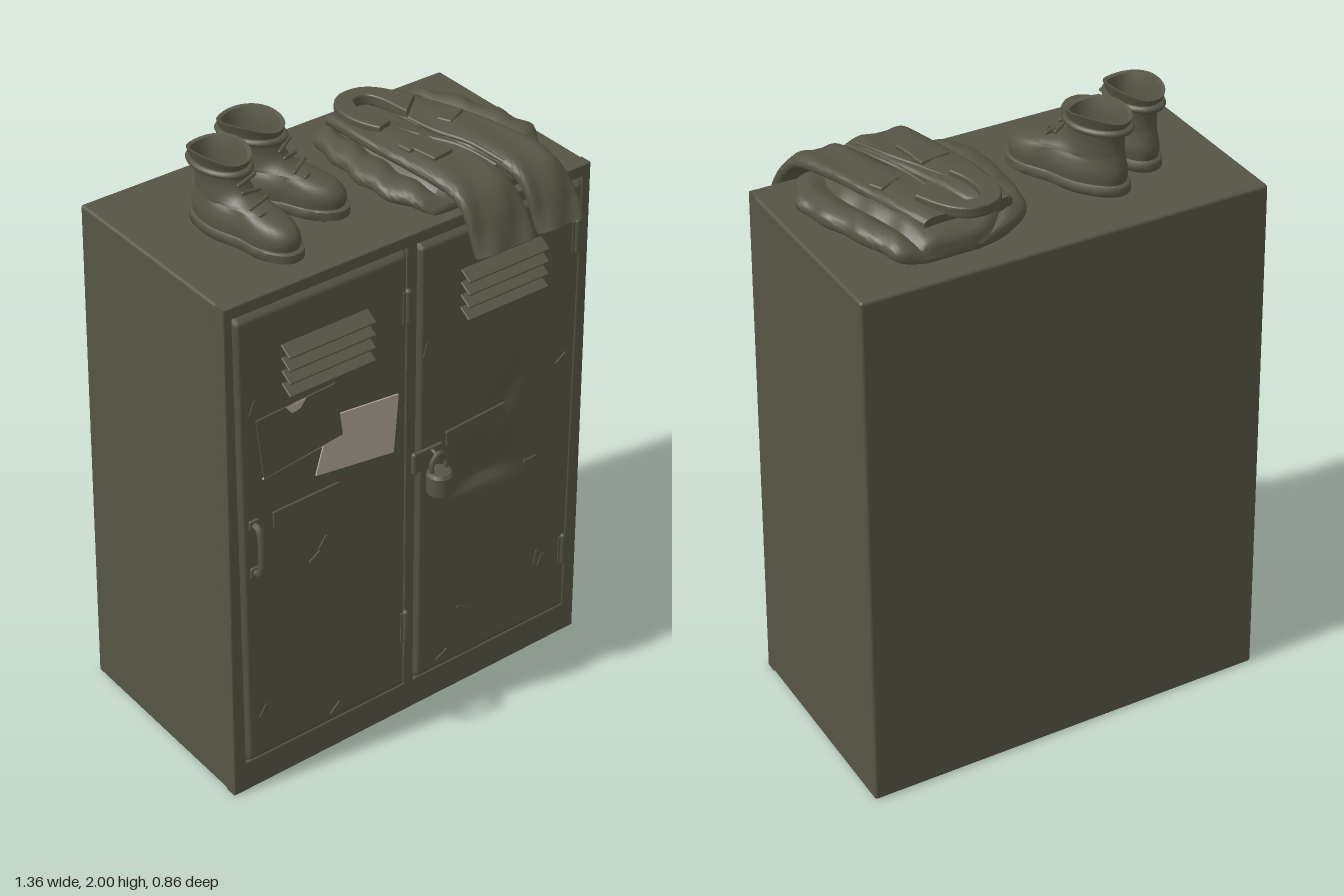
import * as THREE from 'three';
import { RoundedBoxGeometry } from 'three/addons/geometries/RoundedBoxGeometry.js';
import { toCreasedNormals } from 'three/addons/utils/BufferGeometryUtils.js';

const olive = new THREE.MeshStandardMaterial({ color: 0x555445 });
olive.name = 'worn olive';
const paper = new THREE.MeshStandardMaterial({ color: 0xb0a698 });
paper.name = 'old paper';

function add(parent, name, geo, x = 0, y = 0, z = 0, mat = olive) {
  const m = new THREE.Mesh(geo, mat);
  m.name = name;
  m.position.set(x, y, z);
  parent.add(m);
  return m;
}

function group(parent, name) {
  const g = new THREE.Group();
  g.name = name;
  parent.add(g);
  return g;
}

// Skin over closed rings (counter-clockwise seen from the end), with both ends capped
function loft(rings) {
  const n = rings[0].length, pos = [], idx = [];
  rings.forEach(r => r.forEach(p => pos.push(...p)));
  for (let i = 0; i < rings.length - 1; i++) for (let j = 0; j < n; j++) {
    const a = i * n + j, b = i * n + (j + 1) % n;
    idx.push(a, b, b + n, a, b + n, a + n);
  }
  [0, rings.length - 1].forEach(i => {
    const c = pos.length / 3, mid = [0, 1, 2].map(k => rings[i].reduce((s, p) => s + p[k], 0) / n);
    pos.push(...mid);
    for (let j = 0; j < n; j++) {
      const a = i * n + j, b = i * n + (j + 1) % n;
      idx.push(...(i ? [a, b, c] : [b, a, c]));
    }
  });
  const g = new THREE.BufferGeometry();
  g.setAttribute('position', new THREE.Float32BufferAttribute(pos, 3));
  g.setIndex(idx);
  g.computeVertexNormals();
  return toCreasedNormals(g, 0.9);
}

// Smoothly resample rows of four numbers
function resample(rows, n) {
  const curves = [0, 2].map(k => new THREE.CatmullRomCurve3(
    rows.map(r => new THREE.Vector3(r[k], r[k + 1], 0)), false, 'catmullrom', 0.5));
  return Array.from({ length: n + 1 }, (_, i) => curves.flatMap(c => {
    const v = c.getPoint(i / n);
    return [v.x, v.y];
  }));
}

const ring = (n, f) => Array.from({ length: n }, (_, i) => f(i / n * Math.PI * 2));
const pow = (v, e) => Math.sign(v) * Math.abs(v) ** e;
const bump = (d, w) => Math.exp(-d * d / (w * w));

// Sheet-metal door with rolled edges; the dented one is pushed in with a sharp lower crease
function doorGeometry(w, h, dented) {
  const g = new THREE.PlaneGeometry(w, h, 60, 110), p = g.attributes.position;
  for (let i = 0; i < p.count; i++) {
    const x = p.getX(i), y = p.getY(i);
    const e = THREE.MathUtils.clamp(Math.min(w / 2 - Math.abs(x), h / 2 - Math.abs(y)) / 0.016, 0, 1);
    let z = -0.02 + 0.028 * Math.sqrt(e * (2 - e));
    if (dented) {
      const dx = x + 0.04, dy = y + 0.13 + 0.25 * dx * dx;
      z -= 0.026 * bump(dx, 0.12) * (dy > 0 ? bump(dy, 0.15) : bump(dy, 0.035));
      z += 0.012 * bump(dx + 0.03, 0.1) * bump(dy + 0.02, 0.018);
      z -= 0.012 * bump(x - y * 0.5 + 0.04, 0.05) * bump(y - 0.12, 0.12);
    }
    p.setZ(i, z);
  }
  g.computeVertexNormals();
  return g;
}

// Laced ankle boot: rings of [height, heel z, toe z, half width]
function boot(parent, name, x, z, turn) {
  const g = group(parent, name);
  g.position.set(x, 1.75, z);
  g.rotation.y = turn;
  const section = ([y, zb, zf, w], dip = 0) => ring(36, t => {
    const s = Math.sin(t), u = (1 + s) / 2;
    const waist = zf > 0.1 ? 1 - 0.2 * bump(u - 0.42, 0.16) : 1;
    return [w * waist * pow(Math.cos(t), 0.85), y - dip * s * s, zb + (zf - zb) * (1 - u)];
  });
  const sole = [[0, -.2, .2, .08], [.004, -.205, .21, .084], [.03, -.205, .21, .084], [.034, -.2, .2, .08]];
  add(g, 'sole', loft(sole.map(r => section(r))));
  const upper = resample([[.03, -.19, .195, .077], [.065, -.195, .198, .078], [.095, -.19, .17, .07],
    [.115, -.186, .1, .061], [.135, -.182, .03, .057], [.17, -.182, 0, .056], [.21, -.192, -.005, .062]], 24);
  const mouth = [[.24, -.198, 0, .072], [.252, -.2, .002, .076], [.25, -.188, -.012, .066], [.2, -.178, -.02, .05], [.1, -.17, -.03, .045]];
  add(g, 'upper', loft([...upper.map(r => section(r)), ...mouth.map((r, i) => section(r, i < 3 ? 0.018 : 0))]));
  // Padded cuff and laces
  const cuff = new THREE.TorusGeometry(0.072, 0.011, 8, 36).rotateX(Math.PI / 2).scale(0.93, 1, 1.36);
  add(g, 'cuff', cuff, 0, 0.205, -0.098);
  [[.105, .09], [.125, .055], [.15, .025], [.18, .008]].forEach(([y, lz], i) => {
    const lace = add(g, 'lace', new THREE.CapsuleGeometry(0.006, 0.065, 4, 8).rotateZ(Math.PI / 2), 0, y + .006, lz);
    lace.rotation.z = i % 2 ? 0.2 : -0.2;
  });
}

function jacket(root) {
  const g = group(root, 'foldedJacket');
  // Folded body with sleeves tucked at the sides: [z, left x, right x, height]
  const rows = [[-.3, .22, .42, .02], [-.285, .13, .48, .06], [-.22, .045, .515, .085], [-.12, .025, .55, .092],
    [0, .015, .59, .09], [.1, .015, .605, .085], [.18, .035, .575, .078], [.24, .065, .535, .06], [.275, .1, .5, .03]];
  add(g, 'jacketBody', loft(resample(rows, 48).map(([z, l, r, h]) => ring(64, t => {
    const u = pow(Math.cos(t), 0.75), v = (1 + pow(Math.sin(t), 0.65)) / 2;
    const valley = 1 - 0.28 * bump(Math.abs(u) - 0.66, 0.07);
    const fold = 0.005 * Math.sin(z * 48 + u * 9) * Math.abs(u);
    return [(l + r) / 2 + (r - l) / 2 * u + fold, 1.748 + Math.max(0, v * (h * valley + fold)), z];
  }))));
  // Front panels hanging over the edge: path of [z, y] with [left x, right x] per side
  const path = [[-.24, 1.832], [-.05, 1.84], [.1, 1.837], [.24, 1.825], [.31, 1.805], [.355, 1.76], [.385, 1.705], [.41, 1.655]];
  const sides = {
    right: [[.1, .2], [.1, .26], [.12, .31], [.14, .335], [.145, .345], [.148, .352], [.15, .355], [.153, .357]],
    left: [[.27, .38], [.28, .44], [.32, .48], [.352, .515], [.365, .528], [.373, .538], [.378, .543], [.383, .543]]
  };
  for (const [side, xs] of Object.entries(sides)) {
    const pts = resample(path.map((p, i) => [...p, ...xs[i]]), 40);
    add(g, side + 'Panel', loft(pts.map(([z, y, l, r], i) => {
      const a = pts[Math.max(0, i - 1)], b = pts[Math.min(40, i + 1)];
      const dz = b[0] - a[0], dy = b[1] - a[1], len = Math.hypot(dz, dy);
      return ring(40, t => {
        const u = pow(Math.cos(t), 0.5);
        const o = 0.021 * pow(Math.sin(t), 0.6) + 0.005 * Math.sin(u * 5 + i * 0.25) * (0.4 + i / 50);
        return [(l + r) / 2 + (r - l) / 2 * u, y + o * dz / len, z - o * dy / len];
      });
    })));
  }
  // Turned-down collar
  const s = new THREE.Shape();
  s.moveTo(.16, -.06);
  s.bezierCurveTo(.1, -.16, .12, -.29, .22, -.285);
  s.bezierCurveTo(.29, -.285, .32, -.22, .35, -.145);
  s.lineTo(.285, -.09);
  s.bezierCurveTo(.275, -.16, .28, -.245, .22, -.245);
  s.bezierCurveTo(.16, -.24, .17, -.14, .2, -.07);
  const collar = new THREE.ExtrudeGeometry(s, { depth: 0.02, bevelSize: 0.006, bevelThickness: 0.008, bevelSegments: 3, curveSegments: 16 });
  add(g, 'collar', collar.rotateX(Math.PI / 2), 0, 1.87, 0);
  // Pocket flaps
  [[.2, .06, .15, .1, .05], [.215, .12, .15, .08, .09], [.385, -.01, .45, .085, .05]].forEach(([x, z, a, w, d]) => {
    add(g, 'pocketFlap', new RoundedBoxGeometry(w, 0.016, d, 2, 0.006), x, 1.859, z).rotation.y = a;
  });
  // Seams along the opening
  [[[.205, -.08], [.25, .03], [.3, .14], [.33, .27]], [[.285, -.08], [.3, .03], [.335, .14], [.36, .27]]].forEach(pts => {
    const c = new THREE.CatmullRomCurve3(pts.map(([x, z], i) => new THREE.Vector3(x, i > 2 ? 1.838 : 1.853, z)));
    add(g, 'openingSeam', new THREE.TubeGeometry(c, 24, 0.007, 8));
  });
}

export function createModel() {
  const root = new THREE.Group();
  root.name = 'locker';

  // Cabinet shell, narrowing slightly towards the top
  const shell = new RoundedBoxGeometry(1.36, 1.75, 0.725, 3, 0.01).translate(0, 0.875, -0.0675);
  const p = shell.attributes.position;
  for (let i = 0; i < p.count; i++) {
    const k = p.getY(i) / 1.75, z = p.getZ(i);
    p.setX(i, p.getX(i) * (1 - 0.026 * k));
    p.setZ(i, z + (z < 0 ? 0.032 : -0.012) * k);
  }
  add(root, 'cabinetShell', shell);

  // Leaning front face: frame, doors and fittings
  const front = group(root, 'front');
  front.position.z = 0.322;
  front.rotation.x = -0.007;
  const rect = (C, l, b, r, t, lt = l, rt = r) => new C([[l, b], [r, b], [rt, t], [lt, t]].map(q => new THREE.Vector2(...q)));
  const frame = rect(THREE.Shape, -.676, .004, .676, 1.746, -.658, .658);
  frame.holes.push(rect(THREE.Path, -.638, .105, -.022, 1.715), rect(THREE.Path, .008, .105, .634, 1.715));
  add(front, 'doorFrame', new THREE.ExtrudeGeometry(frame, { depth: 0.036, bevelSize: 0.004, bevelThickness: 0.004, bevelSegments: 2 }), 0, 0, -0.04);
  add(front, 'rightDoor', doorGeometry(0.61, 1.604, false), -0.33, 0.91, 0);
  add(front, 'leftDoor', doorGeometry(0.62, 1.604, true), 0.321, 0.91, 0);

  // Vent louvres and hinges
  for (const x of [-0.325, 0.32])
    for (let i = 0; i < 4; i++)
      add(front, 'louvre', new RoundedBoxGeometry(0.305, 0.008, 0.05, 2, 0.003), x, 1.556 - i * 0.043, 0.026).rotation.x = 0.55;
  for (const x of [-0.028, 0.612]) for (const y of [1.52, 0.35]) {
    add(front, 'hinge', new THREE.CapsuleGeometry(0.011, 0.1, 4, 10), x, y, 0.008);
    add(front, 'hingeLeaf', new RoundedBoxGeometry(0.022, 0.11, 0.01, 2, 0.003), x - 0.008, y, 0.006);
  }

  // Pull handle
  const grip = new THREE.CatmullRomCurve3([[1.0, 0], [.995, .035], [.97, .044], [.86, .044], [.835, .035], [.83, 0]].map(([y, z]) => new THREE.Vector3(-0.588, y, z)));
  add(front, 'handle', new THREE.TubeGeometry(grip, 32, 0.011, 10));
  for (const y of [1.0, 0.83]) add(front, 'handleMount', new RoundedBoxGeometry(0.034, 0.034, 0.012, 2, 0.004), -0.588, y, 0.01);

  // Hasp and padlock
  add(front, 'hasp', new RoundedBoxGeometry(0.11, 0.07, 0.012, 2, 0.004), 0.045, 0.96, 0.014);
  add(front, 'haspKnuckle', new THREE.CapsuleGeometry(0.01, 0.06, 4, 10), -0.005, 0.96, 0.016);
  add(front, 'staple', new THREE.TorusGeometry(0.02, 0.006, 8, 20).rotateY(Math.PI / 2), 0.06, 0.965, 0.024);
  const lockProfile = [[0, 0], [.034, 0], [.041, .008], [.041, .072], [.034, .082], [0, .084]].map(q => new THREE.Vector2(...q));
  add(front, 'padlock', toCreasedNormals(new THREE.LatheGeometry(lockProfile, 28), 0.6), 0.06, 0.85, 0.058);
  const bow = new THREE.CatmullRomCurve3([[-.026, .92], [-.026, .965], [0, .992], [.026, .965], [.026, .92]].map(([x, y]) => new THREE.Vector3(0.06 + x, y, 0.052)));
  add(front, 'shackle', new THREE.TubeGeometry(bow, 24, 0.008, 8));

  // Worn name strips, notes and chipped spots
  [[-.4, .985, .24, .06, .01], [.235, 1.0, .23, .055, .06]].forEach(([x, y, w, h, a]) => {
    add(front, 'nameStrip', new RoundedBoxGeometry(w, h, 0.008, 2, 0.003), x, y, 0.01).rotation.z = a;
  });
  const sheet = (name, pts, z, mat) => add(front, name, new THREE.ExtrudeGeometry(
    new THREE.Shape(pts.map(q => new THREE.Vector2(...q))), { depth: 0.005, bevelEnabled: false }), 0, 0, z, mat);
  sheet('paperNote', [[-.37, 1.08], [-.085, 1.04], [-.068, 1.24], [-.315, 1.265]], 0.014, paper);
  sheet('darkNote', [[-.56, 1.16], [-.28, 1.195], [-.305, 1.382], [-.583, 1.367]], 0.024, olive);
  sheet('tornCorner', [[-.48, 1.372], [-.46, 1.345], [-.43, 1.35], [-.41, 1.376]], 0.0255, paper);
  sheet('tornEdge', [[-.565, 1.158], [-.285, 1.19], [-.28, 1.2], [-.56, 1.164]], 0.0235, paper);
  [[-.37, .78, .6], [-.34, .82, .9], [-.58, 1.4, 1.2], [-.3, .16, .8], [.5, .37, 1.4], [.52, .35, 1.2], [.04, 1.34, 1.3],
    [.57, 1.1, .6], [.12, .16, .5], [.2, .31, -.6], [-.57, .29, 1], [.46, .77, 0]].forEach(([x, y, a]) => {
    add(front, 'paintChip', new RoundedBoxGeometry(0.05, 0.012, 0.006, 1, 0.002), x, y, 0.008).rotation.z = a;
  });

  boot(root, 'rightBoot', -0.385, 0.03, 0.17);
  boot(root, 'leftBoot', -0.187, -0.063, 0.47);
  jacket(root);
  return root;
}
